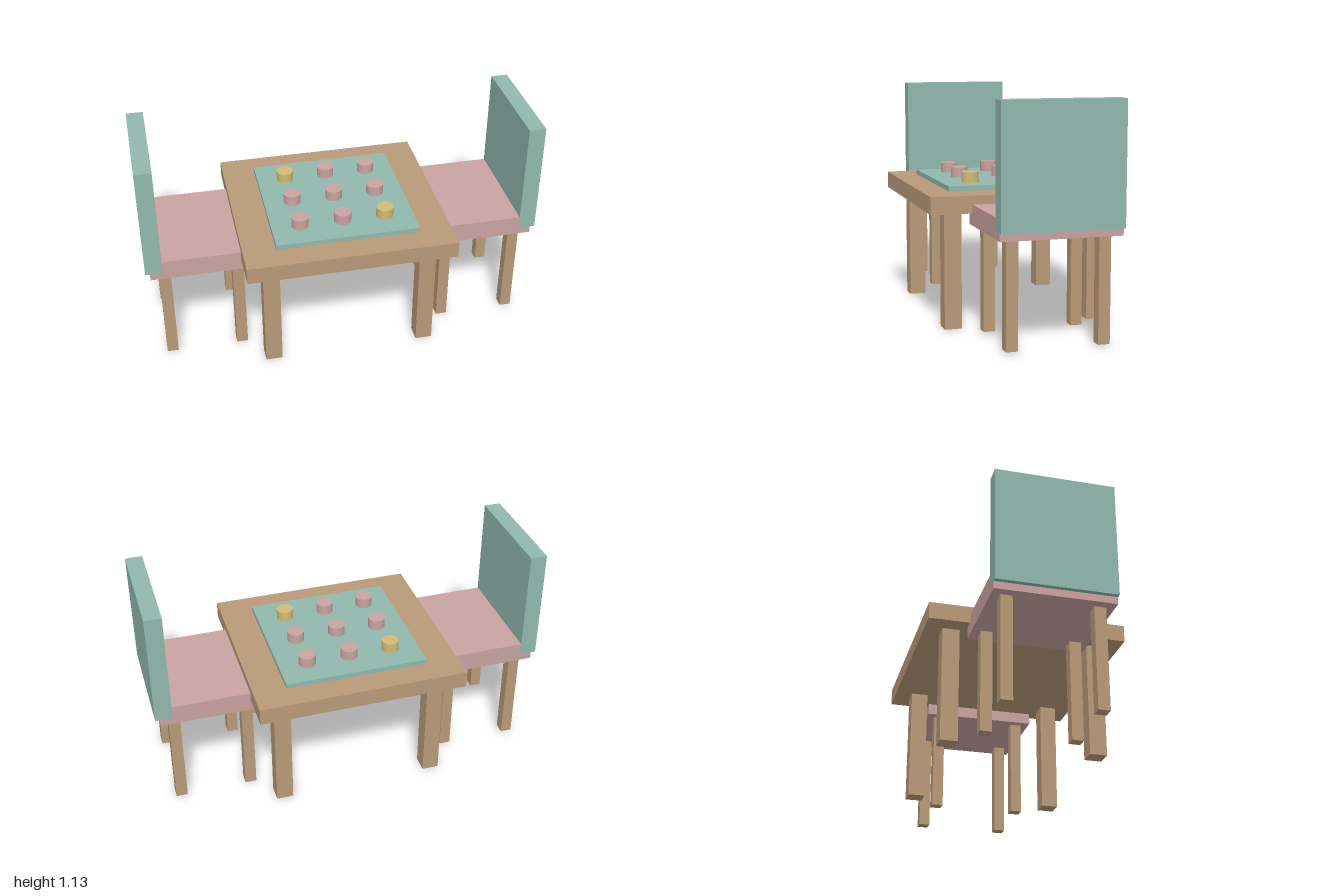
import * as THREE from 'three';

const material = (color) => new THREE.MeshStandardMaterial({ color });

export function createModel() {
  const model = new THREE.Group();
  model.name = 'tableWithChairs';
  const wood = material(0xb89a78);
  const teal = material(0x90b8ac);
  const pink = material(0xc9a3a0);
  const yellow = material(0xd2bb75);

  // Box given by its centre in x and z, and its bottom and top
  function box(parent, name, mat, [w, d], [x, z], y0, y1) {
    const mesh = new THREE.Mesh(new THREE.BoxGeometry(w, y1 - y0, d), mat);
    mesh.position.set(x, (y0 + y1) / 2, z);
    mesh.name = name;
    parent.add(mesh);
  }

  // Table with four square legs
  const table = new THREE.Group();
  table.name = 'table';
  box(table, 'tableTop', wood, [1.054, 0.98], [0, 0], 0.575, 0.66);
  for (const sx of [-1, 1]) {
    for (const sz of [-1, 1]) {
      box(table, 'tableLeg', wood, [0.085, 0.085], [sx * 0.398, sz * 0.363], 0, 0.575);
    }
  }
  model.add(table);

  // Game board with a 3 x 3 grid of round pieces
  const board = new THREE.Group();
  board.name = 'gameBoard';
  box(board, 'boardPlate', teal, [0.724, 0.724], [0, 0], 0.66, 0.685);
  const pieceGeometry = new THREE.CylinderGeometry(0.043, 0.043, 0.052, 32);
  for (let i = -1; i <= 1; i++) {
    for (let j = -1; j <= 1; j++) {
      const isCorner = i === j && i !== 0;
      const piece = new THREE.Mesh(pieceGeometry, isCorner ? yellow : pink);
      piece.name = isCorner ? 'yellowPiece' : 'pinkPiece';
      piece.position.set(i * 0.217, 0.711, j * 0.217);
      board.add(piece);
    }
  }
  model.add(board);

  // Two chairs facing each other across the table
  for (const s of [-1, 1]) {
    const chair = new THREE.Group();
    chair.name = s > 0 ? 'leftChair' : 'rightChair';
    box(chair, 'seat', pink, [0.505, 0.578], [s * 0.7245, 0], 0.517, 0.617);
    box(chair, 'backrest', teal, [0.085, 0.58], [s * 0.9575, 0], 0.553, 1.132);
    for (const x of [0.541, 0.904]) {
      for (const z of [-0.219, 0.219]) {
        box(chair, 'chairLeg', wood, [0.057, 0.057], [s * x, z], 0.01, 0.517);
      }
    }
    model.add(chair);
  }
  return model;
}
